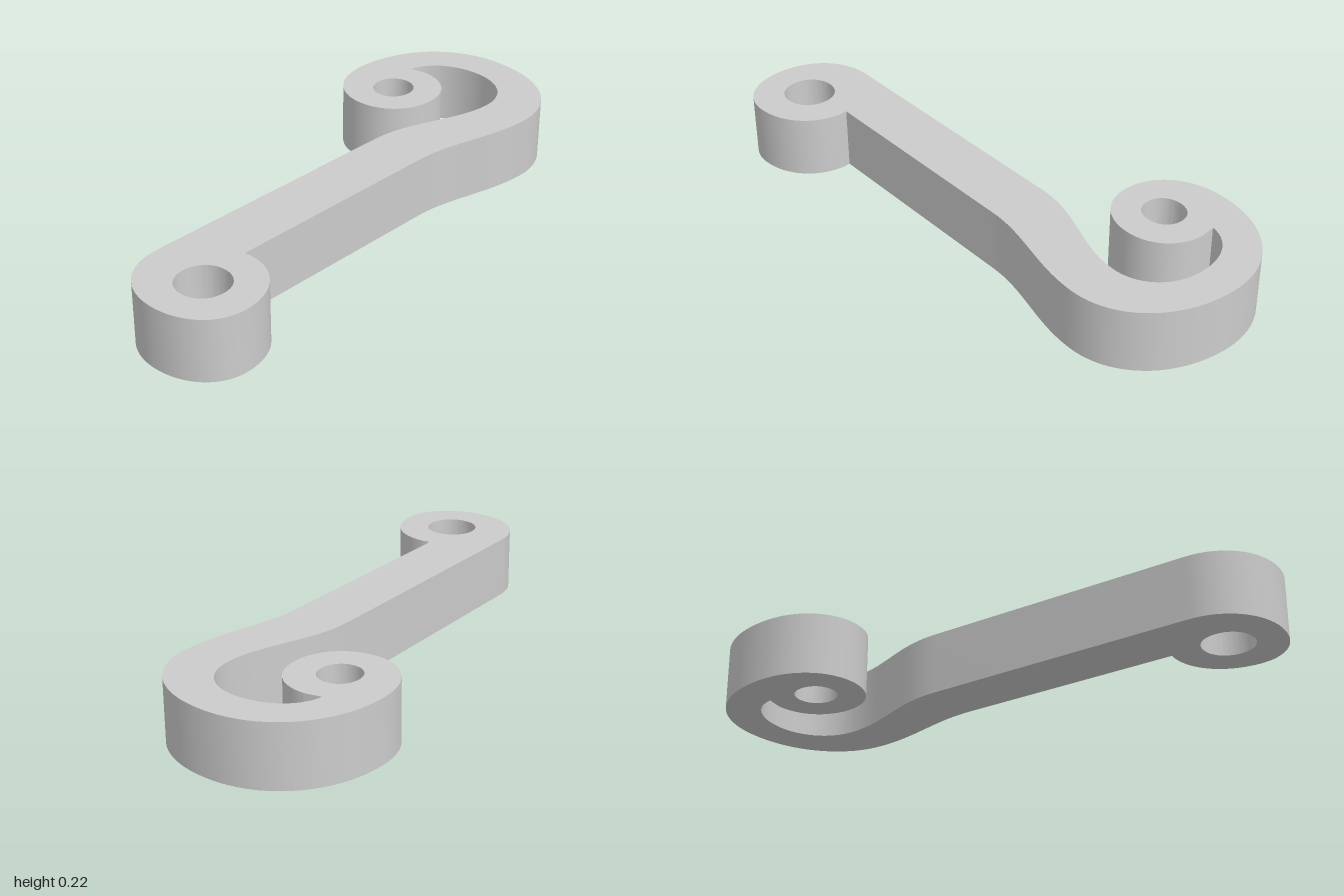
import * as THREE from 'three';
import { toCreasedNormals } from 'three/addons/utils/BufferGeometryUtils.js';

const HEIGHT = 0.223;
const ROUND = 0.58; // handle length of the rounded quarter turns

// Quarter turn to (x, z), leaving along x or along z
function turn(path, x, z, alongX) {
  const { x: x0, y: z0 } = path.currentPoint;
  const cx = alongX ? x : x0;
  const cz = alongX ? z0 : z;
  path.bezierCurveTo(
    x0 + (cx - x0) * ROUND, z0 + (cz - z0) * ROUND,
    x + (cx - x) * ROUND, z + (cz - z) * ROUND, x, z);
}

// Rounded eye hole from its bounds
function eyeHole(x0, x1, z0, z1) {
  const cx = (x0 + x1) / 2, cz = (z0 + z1) / 2;
  const hole = new THREE.Path();
  hole.moveTo(x1, cz);
  turn(hole, cx, z1, false);
  turn(hole, x0, cz, true);
  turn(hole, cx, z0, false);
  turn(hole, x1, cz, true);
  return hole;
}

export function createModel() {
  const group = new THREE.Group();
  group.name = 'scrollHook';

  // Plan outline, drawn in (x, z)
  const outline = new THREE.Shape();
  outline.moveTo(0.205, 0.605);
  // Right side of the shaft, swelling into the hook
  outline.lineTo(0.205, -0.22);
  outline.bezierCurveTo(0.205, -0.38, 0.285, -0.52, 0.285, -0.69);
  // Outside of the hook and its curled tip
  turn(outline, -0.08, -1.0, false);
  turn(outline, -0.435, -0.62, true);
  turn(outline, -0.235, -0.39, false);
  turn(outline, -0.055, -0.57, true);
  turn(outline, -0.225, -0.74, false);
  outline.lineTo(-0.282, -0.73);
  // Inside of the hook
  outline.bezierCurveTo(-0.27, -0.81, -0.19, -0.87, -0.08, -0.87);
  turn(outline, 0.113, -0.69, true);
  // Left side of the shaft
  outline.bezierCurveTo(0.113, -0.53, -0.005, -0.4, -0.005, -0.22);
  outline.lineTo(-0.005, 0.78);
  // Eye at the foot of the shaft
  turn(outline, 0.215, 0.995, false);
  turn(outline, 0.43, 0.815, true);
  turn(outline, 0.23, 0.602, false);
  outline.closePath();

  outline.holes.push(
    eyeHole(0.14, 0.32, 0.71, 0.89),
    eyeHole(-0.3, -0.155, -0.64, -0.49));

  // Extrude and lay flat on the ground
  let geometry = new THREE.ExtrudeGeometry(outline, {
    depth: HEIGHT, bevelEnabled: false, curveSegments: 24,
  });
  geometry.rotateX(Math.PI / 2);
  geometry.translate(0, HEIGHT, 0);
  geometry = toCreasedNormals(geometry, Math.PI / 5);

  const body = new THREE.Mesh(geometry, new THREE.MeshStandardMaterial({ color: 0xcccccc }));
  body.name = 'hookBody';
  group.add(body);
  return group;
}
